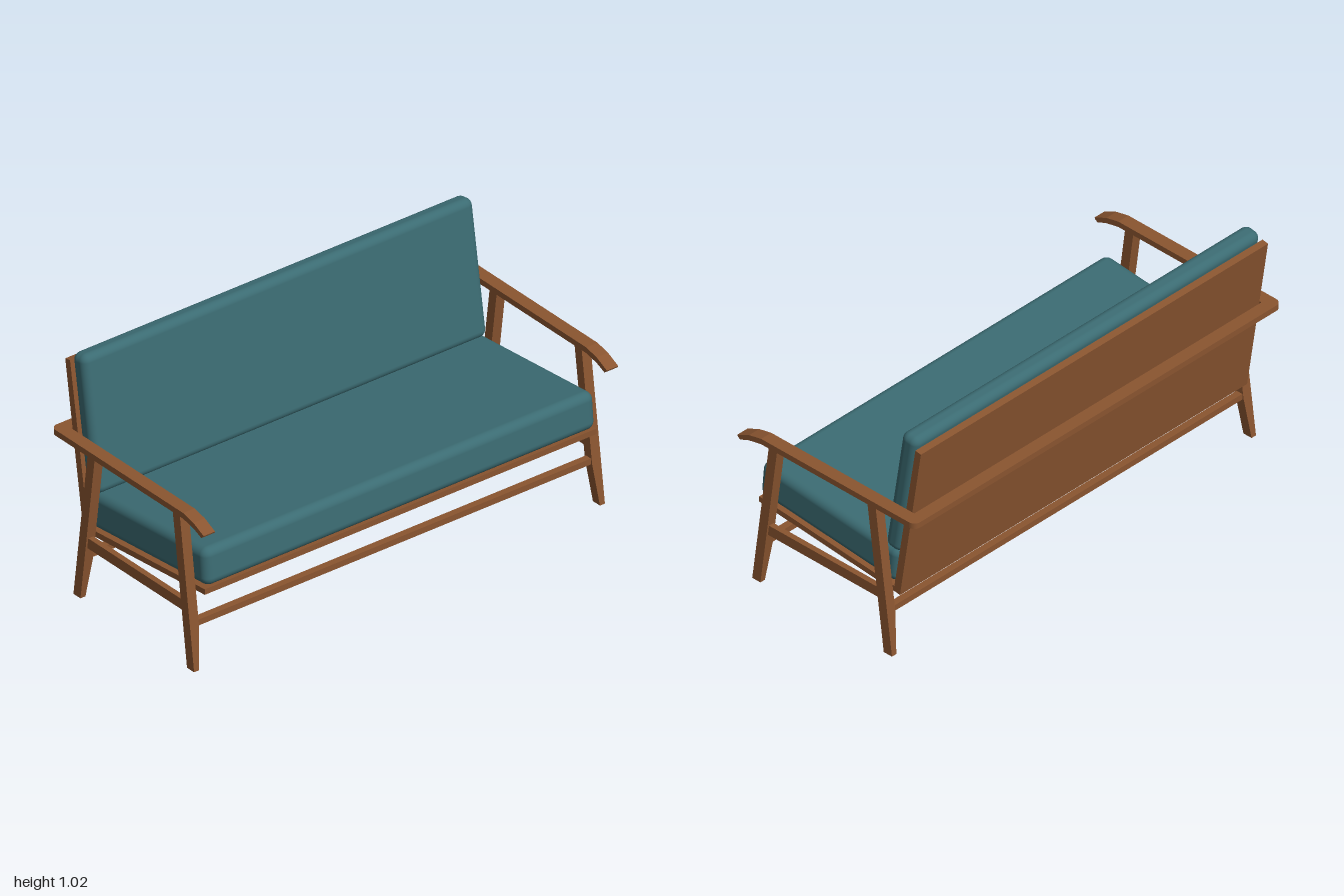
import * as THREE from 'three';
import { RoundedBoxGeometry } from 'three/addons/geometries/RoundedBoxGeometry.js';

const wood = new THREE.MeshStandardMaterial({ color: 0x8a5530 });
wood.name = 'walnut wood';
const fabric = new THREE.MeshStandardMaterial({ color: 0x3b6b72 });
fabric.name = 'teal fabric';

export function createModel() {
  const sofa = new THREE.Group();
  sofa.name = 'sofa';

  const add = (name, geometry, material, x = 0, y = 0, z = 0) => {
    const mesh = new THREE.Mesh(geometry, material);
    mesh.name = name;
    mesh.position.set(x, y, z);
    sofa.add(mesh);
    return mesh;
  };

  // Side profile of [z, y] points, extruded across x and centred on it
  const slab = (points, width) => {
    const shape = new THREE.Shape(points.map(([z, y]) => new THREE.Vector2(z, y)));
    return new THREE.ExtrudeGeometry(shape, { depth: width, bevelEnabled: false })
      .translate(0, 0, -width / 2)
      .rotateY(-Math.PI / 2);
  };

  // Slanted leg: straight above the stretcher, its inner face tapering below
  const leg = (side, zFoot, zTop) => {
    const geometry = new THREE.BoxGeometry(1, 1, 1, 1, 2, 1).toNonIndexed();
    const p = geometry.attributes.position;
    const heights = [0, 0.18, 0.66];
    for (let i = 0; i < p.count; i++) {
      const level = Math.round((p.getY(i) + 0.5) * 2);
      const y = heights[level];
      const outer = p.getX(i) * side > 0;
      const x = outer ? 0.991 : level === 0 ? 0.967 : 0.948;
      const z = zFoot + ((zTop - zFoot) * y) / 0.66 + p.getZ(i) * 0.043;
      p.setXYZ(i, x * side, y, z);
    }
    geometry.computeVertexNormals();
    return geometry;
  };

  // Seat and back panels
  add('seatPanel', slab([[0.403, 0.328], [0.403, 0.352], [-0.31, 0.29], [-0.31, 0.265]], 1.89), wood);
  add('backPanel', slab([[-0.302, 0.267], [-0.335, 0.262], [-0.445, 0.971], [-0.416, 0.976]], 1.89), wood);

  // Cushions
  const seat = add('seatCushion', new RoundedBoxGeometry(1.885, 0.16, 0.725, 4, 0.035), fabric, 0, 0.404, 0.044);
  seat.rotation.x = THREE.MathUtils.degToRad(-5);
  const back = add('backCushion', new RoundedBoxGeometry(1.885, 0.578, 0.083, 4, 0.032), fabric, 0, 0.732, -0.332);
  back.rotation.x = THREE.MathUtils.degToRad(-9);

  // Armrests with drooping front ends, legs and side stretchers
  const armProfile = [
    [-0.41, 0.655], [-0.41, 0.68], [0.34, 0.68], [0.403, 0.666], [0.465, 0.637],
    [0.462, 0.63], [0.45, 0.622], [0.405, 0.641], [0.34, 0.655],
  ];
  for (const [label, side] of [['left', 1], ['right', -1]]) {
    add(label + 'Armrest', slab(armProfile, 0.055), wood, side * 0.9725);
    add(label + 'FrontLeg', leg(side, 0.374, 0.286), wood);
    add(label + 'BackLeg', leg(side, -0.316, -0.229), wood);
    add(label + 'SideStretcher', new THREE.BoxGeometry(0.025, 0.045, 0.59), wood, side * 0.97, 0.256, 0.026);
  }

  // Rear rail joining the armrests, with rounded outer corners
  const r = 0.03;
  const plan = new THREE.Shape();
  plan.moveTo(-1, 0.41);
  plan.lineTo(1, 0.41);
  plan.lineTo(1, 0.465 - r);
  plan.absarc(1 - r, 0.465 - r, r, 0, Math.PI / 2);
  plan.absarc(-1 + r, 0.465 - r, r, Math.PI / 2, Math.PI);
  plan.closePath();
  const rail = new THREE.ExtrudeGeometry(plan, { depth: 0.025, bevelEnabled: false, curveSegments: 6 })
    .rotateX(-Math.PI / 2);
  add('rearRail', rail, wood, 0, 0.655, 0);

  // Long stretchers between the legs
  add('frontStretcher', new THREE.BoxGeometry(1.92, 0.026, 0.03), wood, 0, 0.187, 0.349);
  add('backStretcher', new THREE.BoxGeometry(1.92, 0.026, 0.03), wood, 0, 0.187, -0.292);

  return sofa;
}
